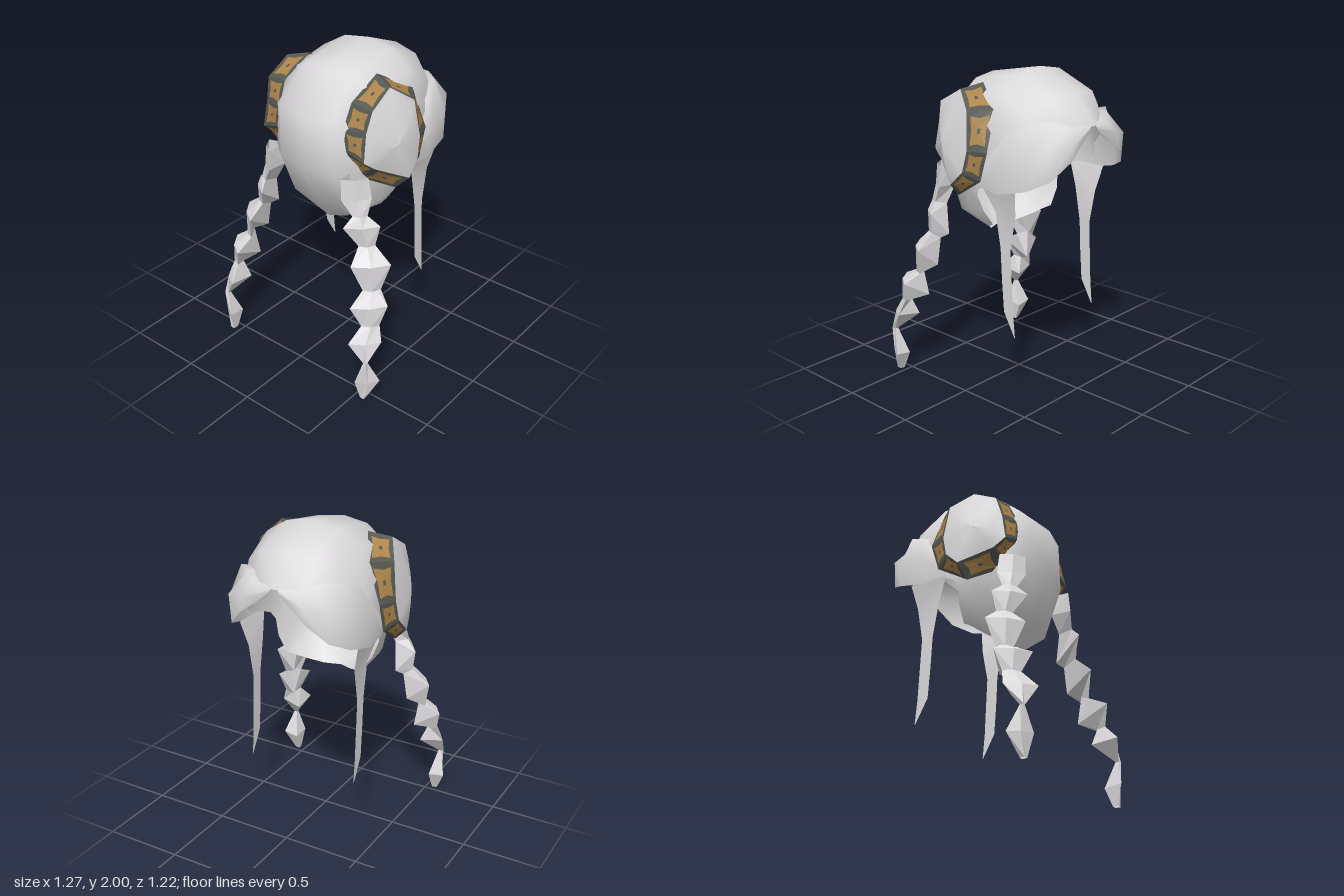
import * as THREE from 'three';

const V = (p) => new THREE.Vector3(...p);
const mat = (name, color) => {
  const m = new THREE.MeshStandardMaterial({ color, side: THREE.DoubleSide });
  m.name = name;
  return m;
};

// Skin a list of cross-sections (rows of points); close joins each row's end to its start
function skin(rows, close = false, flat = false) {
  const n = rows[0].length, idx = [];
  for (let i = 0; i < rows.length - 1; i++) {
    for (let j = 0; j < (close ? n : n - 1); j++) {
      const a = i * n + j, b = i * n + ((j + 1) % n), c = a + n, d = b + n;
      idx.push(a, b, d, a, d, c);
    }
  }
  let g = new THREE.BufferGeometry();
  g.setAttribute('position', new THREE.Float32BufferAttribute(rows.flat(2), 3));
  g.setIndex(idx);
  if (flat) g = g.toNonIndexed();
  g.computeVertexNormals();
  return g;
}

function add(parent, name, geometry, material) {
  const m = new THREE.Mesh(geometry, material);
  m.name = name;
  parent.add(m);
}

// Half of the cap as ribs running from the brow, over the crown, to the nape
const RIBS = [
  [[0, 1.7, -.585], [0, 1.88, -.46], [0, 2, -.17], [0, 1.93, .22], [0, 1.7, .44], [0, 1.37, .44], [0, 1.09, .3], [0, .935, .2]],
  [[.18, 1.69, -.5], [.18, 1.86, -.42], [.17, 1.97, -.17], [.17, 1.91, .2], [.2, 1.7, .395], [.2, 1.37, .4], [.2, 1.09, .285], [.1, .945, .15]],
  [[.31, 1.62, -.42], [.32, 1.76, -.35], [.32, 1.88, -.15], [.32, 1.83, .15], [.31, 1.66, .31], [.31, 1.37, .31], [.28, 1.1, .23], [.19, .99, .07]],
  [[.39, 1.48, -.28], [.4, 1.6, -.23], [.41, 1.7, -.12], [.41, 1.7, .05], [.4, 1.55, .12], [.38, 1.35, .12], [.32, 1.12, .1], [.26, 1.03, .01]],
  [[.4, 1.42, -.28], [.41, 1.38, -.24], [.41, 1.35, -.18], [.4, 1.33, -.1], [.39, 1.3, -.03], [.37, 1.25, 0], [.34, 1.15, -.02], [.27, 1.05, -.03]],
];

// Swept fringe: point tucked under the cap, then top, middle and bottom of each section
const FRINGE = [
  [[.01, 1.71, -.55], [.02, 1.7, -.575], [.04, 1.67, -.58], [.05, 1.65, -.57]],
  [[.1, 1.7, -.48], [.15, 1.705, -.55], [.2, 1.63, -.605], [.22, 1.53, -.6]],
  [[.18, 1.74, -.39], [.24, 1.74, -.48], [.34, 1.6, -.54], [.33, 1.42, -.535]],
  [[.27, 1.72, -.32], [.34, 1.74, -.4], [.42, 1.55, -.41], [.41, 1.36, -.42]],
  [[.37, 1.67, -.24], [.39, 1.67, -.27], [.448, 1.5, -.24], [.43, 1.31, -.22]],
  [[.39, 1.55, -.14], [.4, 1.55, -.15], [.44, 1.45, -.1], [.42, 1.33, -.06]],
];

// Loose lock: y, front z, back z
const LOCK = [[1.34, -.07, -.34], [1.18, -.15, -.31], [.96, -.19, -.27], [.76, -.2, -.28], [.56, -.215, -.29], [.41, -.3, -.305]];

// Bun band: head-side point and outer point of each corner
const BAND = [
  [[.25, 1.91, .06], [.385, 1.88, .115]],
  [[.36, 1.79, -.14], [.465, 1.78, -.015]],
  [[.45, 1.55, -.16], [.495, 1.55, -.04]],
  [[.45, 1.37, -.105], [.505, 1.42, -.01]],
  [[.43, 1.245, .1], [.515, 1.33, .08]],
  [[.29, 1.34, .27], [.405, 1.43, .27]],
  [[.265, 1.53, .355], [.385, 1.49, .345]],
  [[.24, 1.66, .355], [.375, 1.66, .315]],
  [[.25, 1.81, .29], [.39, 1.79, .28]],
];

// Plait sections: centre x, y, z, half width, then the inner ridge point
const PLAIT = [
  [.33, 1.38, .36, .08, .28, 1.39, .29], [.345, 1.25, .36, .09, .27, 1.25, .29],
  [.375, 1.15, .365, .045, .33, 1.13, .31], [.4, 1.09, .38, .11, .36, .945, .266],
  [.42, .96, .355, .05, .4, .92, .3], [.49, .87, .405, .12, .43, .75, .3],
  [.495, .7, .4, .055, .49, .73, .37], [.54, .64, .485, .113, .465, .545, .35],
  [.55, .51, .48, .055, .52, .505, .457], [.555, .415, .54, .1, .476, .395, .436],
  [.577, .287, .56, .014, .566, .287, .55], [.58, .135, .545, .077, .53, .12, .484],
  [.555, 0, .55, .02, .54, 0, .53],
];

const DIRS = [[-1, -1], [0, -1], [1, -1], [1, 0], [1, 1], [0, 1], [-1, 1], [-1, 0]];

export function createModel() {
  const model = new THREE.Group();
  model.name = 'hairstyle';
  const hair = mat('silver hair', 0xdbd9db);
  const dark = mat('dark band', 0x555751);
  const gold = mat('ochre panel', 0xab8449);

  // Cap
  const mirrored = RIBS.slice(1).reverse().map((r) => r.map(([x, y, z]) => [-x, y, z]));
  add(model, 'hairCap', skin([...mirrored, ...RIBS]), hair);

  for (const s of [1, -1]) {
    const side = new THREE.Group();
    side.name = s > 0 ? 'leftSide' : 'rightSide';
    model.add(side);
    const flip = (p) => [p[0] * s, p[1], p[2]];

    // Fringe and loose lock
    add(side, 'fringe', skin(FRINGE.map((r) => r.map(flip))), hair);
    add(side, 'looseLock', skin(LOCK.map(([y, a, b], i) => {
      const x = i ? .372 : .41;
      return [flip([x, y, a]), flip([x, y, b])];
    })), hair);

    // Plait: broad outer face, with a ridge on the inside
    add(side, 'plait', skin(PLAIT.map(([x, y, z, h, ix, iy, iz]) => {
      const w = h * Math.SQRT1_2;
      return [[x + w, y, z - w], [x + .015, y, z + .015], [x - w, y, z + w], [ix, iy, iz]].map(flip);
    }), true, true), hair);

    // Bun dome inside the band
    const top = V([.49, 1.57, .17]);
    const loop = (t, out) => BAND.map(([, o]) => {
      const p = V(o).lerp(top, t);
      return flip([p.x + out, p.y, p.z]);
    });
    add(side, 'bun', skin([loop(0, 0), loop(.3, .008), loop(.65, .01), loop(1, .005)], true), hair);

    // Band segments: dark frame, star-shaped panel, small centre stud
    BAND.forEach(([a, b], i) => {
      const [d, e] = BAND[(i + 1) % BAND.length];
      const at = (u, v) => flip(V(a).lerp(V(b), u).lerp(V(d).lerp(V(e), u), v).toArray());
      const ring = (corner, mid) => DIRS.map(([u, v]) => {
        const r = u && v ? corner : mid;
        return at(.5 + u * r, .5 + v * r);
      });
      const edge = ring(.5, .5), star = ring(.36, .31), stud = ring(.06, .06), centre = ring(0, 0);
      add(side, 'bandFrame', skin([edge, star], true, true), dark);
      add(side, 'bandPanel', skin([star, stud], true, true), gold);
      add(side, 'bandStud', skin([stud, centre], true, true), dark);
    });
  }
  return model;
}
